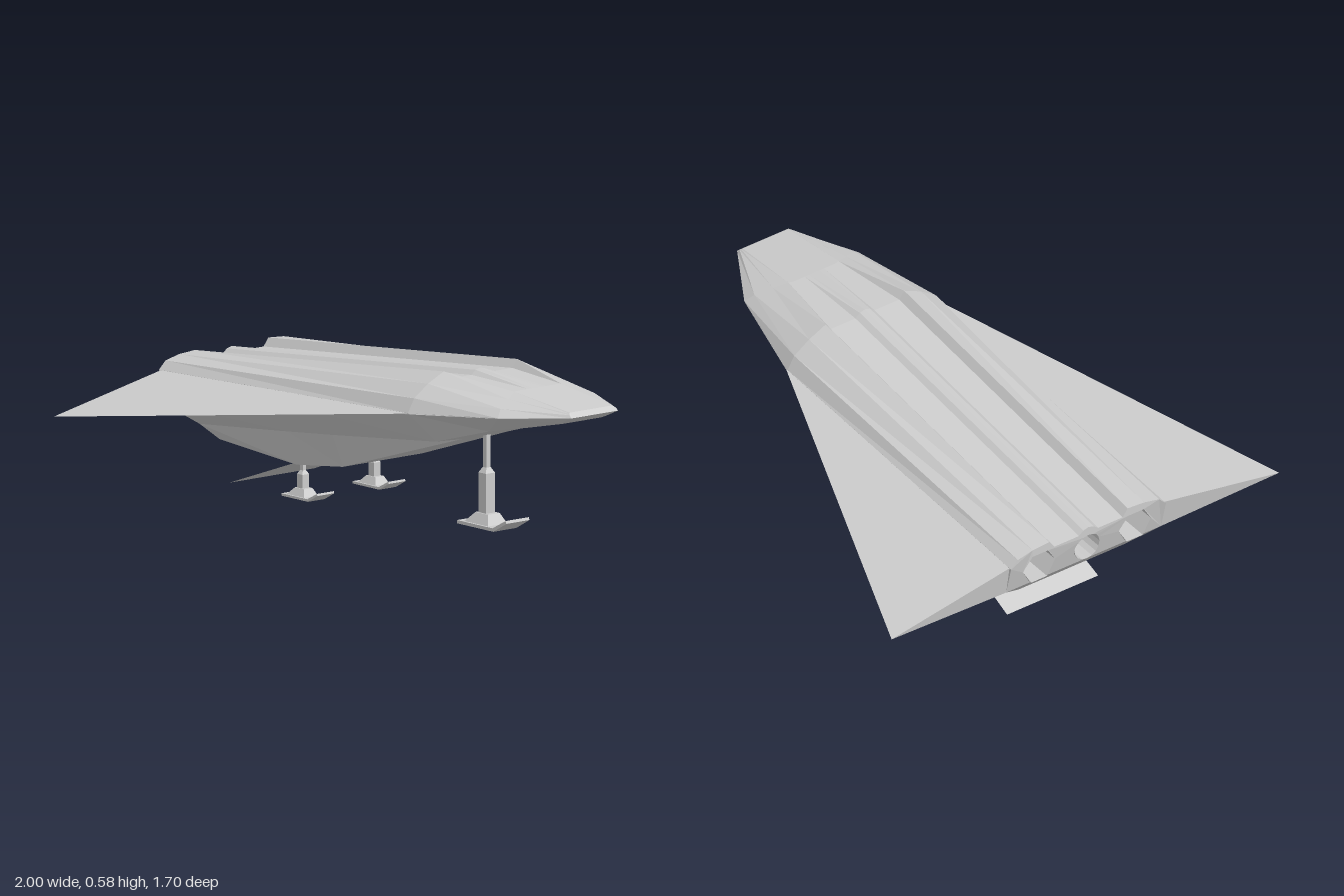
import * as THREE from 'three';

const material = new THREE.MeshStandardMaterial({ color: 0xcccccc, flatShading: true, side: THREE.DoubleSide });

function addMesh(parent, name, geometry) {
  const mesh = new THREE.Mesh(geometry, material);
  mesh.name = name;
  parent.add(mesh);
  return mesh;
}

// Skin between rows of [x, y, z] points on the +z half; `both` adds the mirrored half.
function loft(rows, both = true) {
  const out = [];
  const tri = (a, b, c) => {
    out.push(...a, ...b, ...c);
    if (both) for (const p of [a, c, b]) out.push(p[0], p[1], -p[2]);
  };
  for (let i = 0; i < rows.length - 1; i++) {
    for (let j = 0; j < rows[i].length - 1; j++) {
      const a = rows[i][j], b = rows[i + 1][j], c = rows[i + 1][j + 1], d = rows[i][j + 1];
      tri(a, d, c);
      tri(a, c, b);
    }
  }
  const geometry = new THREE.BufferGeometry();
  geometry.setAttribute('position', new THREE.Float32BufferAttribute(out, 3));
  geometry.computeVertexNormals();
  return geometry;
}

// Upper section with a raised spine, a flat valley and a ridge on each side
function ridgeRow(x, floor, ridge, outer, shoulder, edge) {
  return [
    [x, floor + 0.022, 0], [x, floor + 0.016, 0.022], [x, floor, 0.042], [x, floor, 0.15],
    [x, ridge, 0.172], [x, outer, 0.245], [x, shoulder, 0.31], [x, edge, 0.34],
  ];
}

// Lower section: wing-root top and bottom, chine, keel edge, keel centre
function bellyRow(edge, low, chine, keel) {
  return [edge, low, chine, keel, [keel[0], keel[1], 0]];
}

// Landing leg standing on y = 0, with a ski-shaped foot
function makeLeg(name, x, z, s, kneeY, topY) {
  const leg = new THREE.Group();
  leg.name = name;
  const extrude = (points, width) => {
    const shape = new THREE.Shape(points.map(([px, py]) => new THREE.Vector2(px * s, py * s)));
    return new THREE.ExtrudeGeometry(shape, { depth: width * s, bevelEnabled: false }).translate(0, 0, -width * s / 2);
  };
  const ski = extrude([[-0.1, 0.006], [0.1, 0.006], [0.172, 0.046], [0.168, 0.056], [0.095, 0.018], [-0.1, 0.018]], 0.108);
  addMesh(leg, 'footSki', ski);
  const ankle = extrude([[-0.07, 0.018], [0.06, 0.018], [0.04, 0.055], [-0.03, 0.055]], 0.09);
  // Narrow the ankle block toward its top
  const p = ankle.attributes.position;
  for (let i = 0; i < p.count; i++) if (p.getY(i) > 0.04 * s) p.setZ(i, p.getZ(i) * 0.6);
  ankle.computeVertexNormals();
  addMesh(leg, 'ankleBlock', ankle);
  const bar = (part, w, y0, y1) =>
    addMesh(leg, part, new THREE.BoxGeometry(w, y1 - y0, w).translate(0, (y0 + y1) / 2, 0));
  bar('lowerStrut', 0.042 * s, 0.05 * s, kneeY);
  addMesh(leg, 'strutCollar', new THREE.CylinderGeometry(0.014 * s, 0.0297 * s, 0.02 * s, 4)
    .rotateY(Math.PI / 4).translate(0, kneeY + 0.01 * s, 0));
  bar('upperStrut', 0.02 * s, kneeY, topY);
  leg.position.set(x, 0, z);
  return leg;
}

export function createModel() {
  const ship = new THREE.Group();
  ship.name = 'ship';

  // Upper hull, running from the stern to the nose edge
  const stern = ridgeRow(-1, 0.42, 0.45, 0.445, 0.43, 0.4);
  const upper = [
    stern,
    ridgeRow(0.37, 0.555, 0.585, 0.55, 0.505, 0.455),
    [[0.68, 0.552, 0], [0.68, 0.552, 0.022], [0.68, 0.552, 0.042], [0.68, 0.552, 0.09],
      [0.685, 0.552, 0.11], [0.71, 0.535, 0.16], [0.74, 0.512, 0.22], [0.76, 0.485, 0.25]],
    [[0.98, 0.52, 0], [0.98, 0.52, 0.022], [0.98, 0.52, 0.042], [0.98, 0.52, 0.08],
      [0.98, 0.52, 0.1], [0.983, 0.517, 0.104], [0.988, 0.513, 0.108], [1, 0.503, 0.11]],
    [0, 0.022, 0.042, 0.08, 0.1, 0.104, 0.108, 0.11].map((z) => [1, 0.503, z]),
  ];
  addMesh(ship, 'upperHull', loft(upper));

  // Lower hull with the hanging keel
  const nose = [1, 0.503, 0.11];
  const lower = [
    bellyRow([-1, 0.4, 0.34], [-0.97, 0.28, 0.34], [-0.9, 0.205, 0.235], [-0.83, 0.155, 0.2]),
    bellyRow([-0.42, 0.423, 0.34], [-0.42, 0.349, 0.34], [-0.42, 0.252, 0.235], [-0.42, 0.125, 0.19]),
    bellyRow([-0.17, 0.433, 0.34], [-0.17, 0.381, 0.34], [-0.17, 0.278, 0.235], [-0.17, 0.155, 0.185]),
    bellyRow([0.37, 0.455, 0.34], [0.38, 0.452, 0.34], [0.4, 0.342, 0.235], [0.4, 0.335, 0.11]),
    bellyRow([0.76, 0.485, 0.25], [0.76, 0.483, 0.25], [0.64, 0.41, 0.19], [0.62, 0.4, 0.105]),
    bellyRow(nose, nose, [0.94, 0.476, 0.105], [0.93, 0.47, 0.09]),
    bellyRow(nose, nose, nose, nose),
  ];
  addMesh(ship, 'lowerHull', loft(lower));

  // Slanted stern underside
  const sternRows = lower[0].slice(1, 4).map((p) => [[p[0], p[1], 0], p]);
  addMesh(ship, 'sternUnderside', loft(sternRows));

  // Stern wall with three engine openings
  const half = [...stern.map((p) => [p[2], p[1]]), [0.34, 0.28]];
  const outline = [...half, ...half.slice(1).reverse().map(([z, y]) => [-z, y])];
  const wall = new THREE.Shape(outline.map(([z, y]) => new THREE.Vector2(z, y)));
  const nozzles = [
    { name: 'leftNozzle', z: -0.21, y: 0.355, r: 0.07, sides: 6 },
    { name: 'centreNozzle', z: 0, y: 0.352, r: 0.055, sides: 16 },
    { name: 'rightNozzle', z: 0.21, y: 0.355, r: 0.07, sides: 6 },
  ];
  for (const n of nozzles) {
    const rim = [];
    for (let i = 0; i < n.sides; i++) {
      const a = (i / n.sides) * Math.PI * 2;
      rim.push(new THREE.Vector2(n.z + Math.cos(a) * n.r, n.y + Math.sin(a) * n.r));
    }
    wall.holes.push(new THREE.Path(rim));
    // Recessed duct and its inner plate
    const duct = new THREE.CylinderGeometry(n.r, n.r, 0.16, n.sides, 1, true);
    addMesh(ship, n.name, duct.rotateZ(Math.PI / 2).translate(-0.91, n.y, n.z));
    const plate = new THREE.CylinderGeometry(n.r, n.r, 0.01, n.sides);
    addMesh(ship, n.name + 'Plate', plate.rotateZ(Math.PI / 2).translate(-0.83, n.y, n.z));
  }
  const wallGeometry = new THREE.ShapeGeometry(wall);
  const wp = wallGeometry.attributes.position;
  for (let i = 0; i < wp.count; i++) {
    const z = wp.getX(i), y = wp.getY(i);
    wp.setXYZ(i, -1 + Math.max(0, 0.4 - y) * 0.25, y, z);
  }
  wallGeometry.computeVertexNormals();
  addMesh(ship, 'sternWall', wallGeometry);

  // Delta wings: a triangular root section drawn to a point at the tip
  const tip = [-0.98, 0.3, 0.85];
  const root = [[-0.99, 0.4, 0.34], [-0.97, 0.28, 0.34], [0.38, 0.455, 0.34], [-0.99, 0.4, 0.34]];
  addMesh(ship, 'wings', loft([root, root.map(() => tip)]));

  // Cockpit windows lying just above the nose roof
  const roofY = (x) => 0.552 - ((x - 0.68) / 0.3) * 0.032 + 0.003;
  const windowRows = [0.74, 0.95].map((x) => [[x, roofY(x), 0.008], [x, roofY(x), 0.09]]);
  addMesh(ship, 'cockpitWindows', loft(windowRows));

  // Lowered boarding ramp under the keel
  addMesh(ship, 'ramp', loft([
    [[-0.78, 0.004, -0.2], [-0.78, 0.004, 0.2]],
    [[-0.44, 0.126, -0.19], [-0.44, 0.126, 0.19]],
  ], false));

  // Landing gear
  ship.add(makeLeg('frontLeg', 0.405, 0, 1, 0.2, 0.35));
  for (const side of [1, -1]) {
    ship.add(makeLeg(side > 0 ? 'rearLegA' : 'rearLegB', -0.41, side * 0.167, 0.73, 0.09, 0.14));
  }
  return ship;
}
